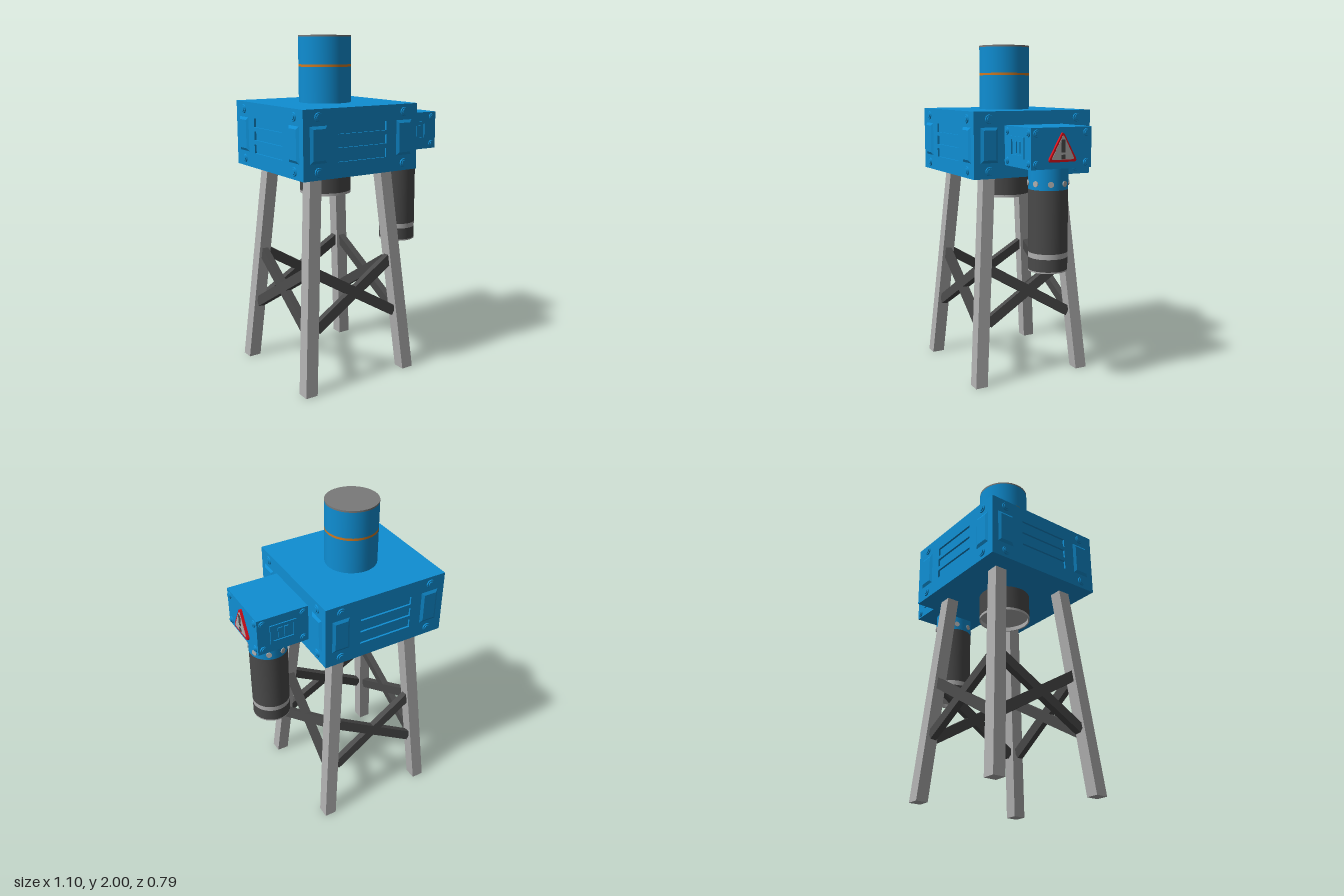
import * as THREE from 'three';
import { toCreasedNormals } from 'three/addons/utils/BufferGeometryUtils.js';

export function createModel() {
  const root = new THREE.Group();
  const mat = (name, color) => {
    const m = new THREE.MeshStandardMaterial({ color });
    m.name = name;
    return m;
  };
  const blue = mat('blue paint', 0x0f8ed3);
  const steel = mat('light steel', 0xb0b0b0);
  const dark = mat('dark steel', 0x4a4a4a);
  const grey = mat('cap grey', 0x7a7a7a);
  const orange = mat('orange stripe', 0xd07a22);
  const red = mat('warning red', 0xe0101c);

  const add = (parent, name, geo, material, x = 0, y = 0, z = 0) => {
    const m = new THREE.Mesh(geo, material);
    m.name = name;
    m.position.set(x, y, z);
    parent.add(m);
    return m;
  };
  const group = (parent, name, x = 0, y = 0, z = 0, ry = 0) => {
    const g = new THREE.Group();
    g.name = name;
    g.position.set(x, y, z);
    g.rotation.y = ry;
    parent.add(g);
    return g;
  };
  const box = (w, h, d) => new THREE.BoxGeometry(w, h, d);
  const rectPoints = (x, y, w, h) => [
    [x - w / 2, y - h / 2], [x + w / 2, y - h / 2], [x + w / 2, y + h / 2], [x - w / 2, y + h / 2],
  ].map(([a, b]) => new THREE.Vector2(a, b));

  // flat plate with rectangular holes, back at z = 0
  const plate = (w, h, d, holes) => {
    const s = new THREE.Shape(rectPoints(0, 0, w, h));
    holes.forEach((r) => s.holes.push(new THREE.Path(rectPoints(...r))));
    return new THREE.ExtrudeGeometry(s, { depth: d, bevelEnabled: false });
  };
  // raised panel whose front is drawn in by a bevel
  const raised = (w, h, d, inset) => {
    const g = box(w, h, d).toNonIndexed();
    const p = g.attributes.position;
    for (let i = 0; i < p.count; i++) {
      if (p.getZ(i) > 0) {
        p.setX(i, p.getX(i) - Math.sign(p.getX(i)) * inset);
        p.setY(i, p.getY(i) - Math.sign(p.getY(i)) * inset);
      }
    }
    g.translate(0, 0, d / 2);
    g.computeVertexNormals();
    return g;
  };
  // two-step bolt head facing +z
  const bolt = (parent, x, y, r, material = blue) => {
    const b = group(parent, 'bolt', x, y);
    [[r, 0.006], [r * 0.65, 0.011]].forEach(([rad, d]) => {
      const g = new THREE.CylinderGeometry(rad * 0.9, rad, d, 12);
      g.rotateX(Math.PI / 2);
      add(b, 'boltHead', g, material, 0, 0, d / 2);
    });
  };
  // stacked bands of one pipe: [bottom, top, material]
  const pipe = (parent, r, bands) => bands.forEach(([y0, y1, m, name]) =>
    add(parent, name, new THREE.CylinderGeometry(r, r, y1 - y0, 40), m, 0, (y0 + y1) / 2, 0));
  // hollow lower end with a recessed underside
  const pipeMouth = (parent, r, y0, y1) => {
    const pts = [[0, y0 + 0.025], [r - 0.008, y0 + 0.025], [r - 0.008, y0], [r, y0], [r, y1]]
      .map(([a, b]) => new THREE.Vector2(a, b));
    add(parent, 'pipeMouth', toCreasedNormals(new THREE.LatheGeometry(pts, 40), 0.6), steel);
  };

  const CX = -0.16;

  // Main housing: core plus four identical slotted faces
  const housing = group(root, 'mainHousing', CX, 1.43, 0);
  add(housing, 'housingCore', box(0.74, 0.38, 0.74), blue);
  for (let k = 0; k < 4; k++) {
    const turn = group(housing, 'housingSide', 0, 0, 0, k * Math.PI / 2);
    const face = group(turn, 'housingFace', 0, 0, 0.37);
    add(face, 'slottedPlate', plate(0.764, 0.38, 0.012,
      [0.075, 0, -0.077].map((y) => [0, y, 0.325, 0.052])), blue);
    const front = group(face, 'faceDetails', 0, 0, 0.012);
    for (const s of [-1, 1]) {
      add(front, 'raisedPanel', raised(0.108, 0.2, 0.01, 0.016), blue, s * 0.287, 0, 0);
      for (const v of [-1, 1]) bolt(front, s * 0.287, v * 0.147, 0.026);
    }
  }

  // Upright pipe through the housing
  const tower = group(root, 'towerPipe', CX, 0, 0);
  pipe(tower, 0.152, [
    [1.6, 1.823, blue, 'towerLower'],
    [1.823, 1.837, orange, 'towerStripe'],
    [1.837, 1.99, blue, 'towerUpper'],
    [1.99, 2, grey, 'towerCap'],
    [1.125, 1.26, dark, 'towerStub'],
  ]);
  add(tower, 'stubLip', new THREE.CylinderGeometry(0.152, 0.152, 0.025, 40, 1, true), dark, 0, 1.1125, 0);
  pipeMouth(tower, 0.152, 1.085, 1.1);

  // Side box
  const side = group(root, 'sideBox', 0.377, 1.428, 0);
  add(side, 'sideBoxBody', box(0.31, 0.225, 0.38), blue);
  for (const k of [0, 1]) {
    const f = group(side, 'sideBoxFace', 0, 0, k ? -0.19 : 0.19, k * Math.PI);
    add(f, 'panelFrame', plate(0.16, 0.118, 0.007, [[0, 0, 0.125, 0.085]]), blue);
    for (const s of [-1, 1]) {
      add(f, 'panelSlot', box(0.027, 0.064, 0.006), blue, s * 0.019, 0, 0.003);
      for (const v of [-1, 1]) bolt(f, s * 0.123, v * 0.083, 0.021);
    }
  }

  // Warning sign on the end of the side box
  const end = group(side, 'sideBoxEnd', 0.155, 0, 0, Math.PI / 2);
  for (const s of [-1, 1]) for (const v of [-1, 1]) bolt(end, s * 0.157, v * 0.083, 0.021);
  const triangle = (w, y0, y1, c) => {
    const s = new THREE.Shape();
    s.moveTo(-w + c, y0);
    s.lineTo(w - c, y0);
    s.quadraticCurveTo(w, y0, w - c * 0.5, y0 + c);
    s.lineTo(c * 0.5, y1 - c);
    s.quadraticCurveTo(0, y1, -c * 0.5, y1 - c);
    s.lineTo(-w + c * 0.5, y0 + c);
    s.quadraticCurveTo(-w, y0, -w + c, y0);
    return s;
  };
  add(end, 'signBorder', new THREE.ExtrudeGeometry(triangle(0.092, -0.075, 0.094, 0.022),
    { depth: 0.014, bevelEnabled: false }), red);
  add(end, 'signField', new THREE.ExtrudeGeometry(triangle(0.073, -0.062, 0.076, 0.014),
    { depth: 0.002, bevelEnabled: false }), steel, 0, 0, 0.014);
  add(end, 'signBar', box(0.024, 0.07, 0.002), dark, 0, 0.013, 0.017);
  add(end, 'signDot', box(0.024, 0.024, 0.002), dark, 0, -0.047, 0.017);

  // Hanging pipe below the side box
  const hanging = group(root, 'hangingPipe', 0.388, 0, 0);
  pipe(hanging, 0.113, [
    [1.19, 1.32, blue, 'collar'],
    [0.83, 1.19, dark, 'pipeBody'],
    [0.8, 0.83, steel, 'pipeBand'],
    [0.76, 0.8, dark, 'pipeFoot'],
  ]);
  add(hanging, 'pipeLip', new THREE.CylinderGeometry(0.113, 0.113, 0.032, 40, 1, true), dark, 0, 0.744, 0);
  pipeMouth(hanging, 0.113, 0.72, 0.728);
  for (let k = 0; k < 8; k++) {
    const a = group(hanging, 'collarBolt', 0, 1.225, 0, (k + 0.5) * Math.PI / 4);
    const g = new THREE.CylinderGeometry(0.017, 0.017, 0.012, 12);
    g.rotateX(Math.PI / 2);
    add(a, 'collarBoltHead', g, steel, 0, 0, 0.112);
  }

  // Splayed legs, open at the foot, and crossed braces
  const stand = group(root, 'stand', CX, 0, 0);
  const H = 1.26;
  for (const sx of [-1, 1]) for (const sz of [-1, 1]) {
    const g = box(0.075, H, 0.075).toNonIndexed();
    const p = g.attributes.position;
    for (let i = 0; i < p.count; i++) {
      const splay = 0.345 - 0.107 * (p.getY(i) / H + 0.5);
      p.setX(i, p.getX(i) + sx * splay);
      p.setZ(i, p.getZ(i) + sz * splay);
    }
    g.computeVertexNormals();
    add(stand, 'leg', g, steel, 0, H / 2, 0);
  }
  for (let k = 0; k < 4; k++) {
    const turn = group(stand, 'bracePair', 0, 0, 0, k * Math.PI / 2);
    const lean = group(turn, 'braceCross', 0, 0.535, 0.3);
    lean.rotation.x = -0.085;
    for (const s of [-1, 1]) {
      add(lean, 'brace', box(0.64, 0.06, 0.04), dark).rotation.z = s * 0.545;
    }
  }
  return root;
}
